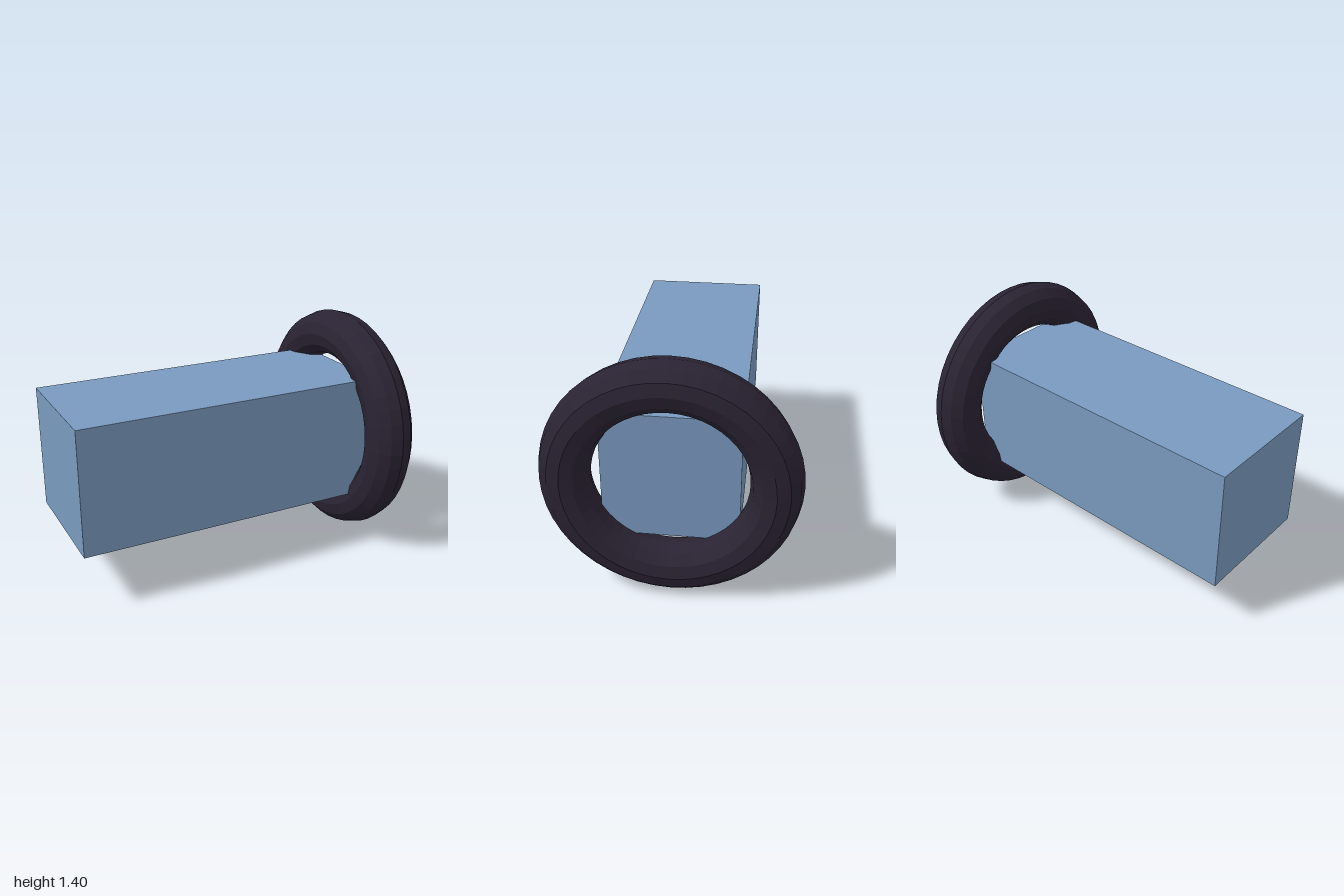
import * as THREE from 'three';

export function createModel() {
  const model = new THREE.Group();
  const axisY = 0.7;
  const ringX = 0.86;

  // Square beam, ending in the middle plane of the ring
  const length = ringX + 1;
  const beam = new THREE.Mesh(
    new THREE.BoxGeometry(length, 0.746, 0.746),
    new THREE.MeshStandardMaterial({ color: 0x7a9abf })
  );
  beam.name = 'beam';
  beam.position.set(-1 + length / 2, axisY, 0);
  model.add(beam);

  // Faceted ring around the end of the beam
  const ring = new THREE.Mesh(
    new THREE.TorusGeometry(0.56, 0.14, 12, 48),
    new THREE.MeshStandardMaterial({ color: 0x2a2333, flatShading: true })
  );
  ring.name = 'endRing';
  ring.rotation.y = Math.PI / 2;
  ring.position.set(ringX, axisY, 0);
  model.add(ring);

  return model;
}
